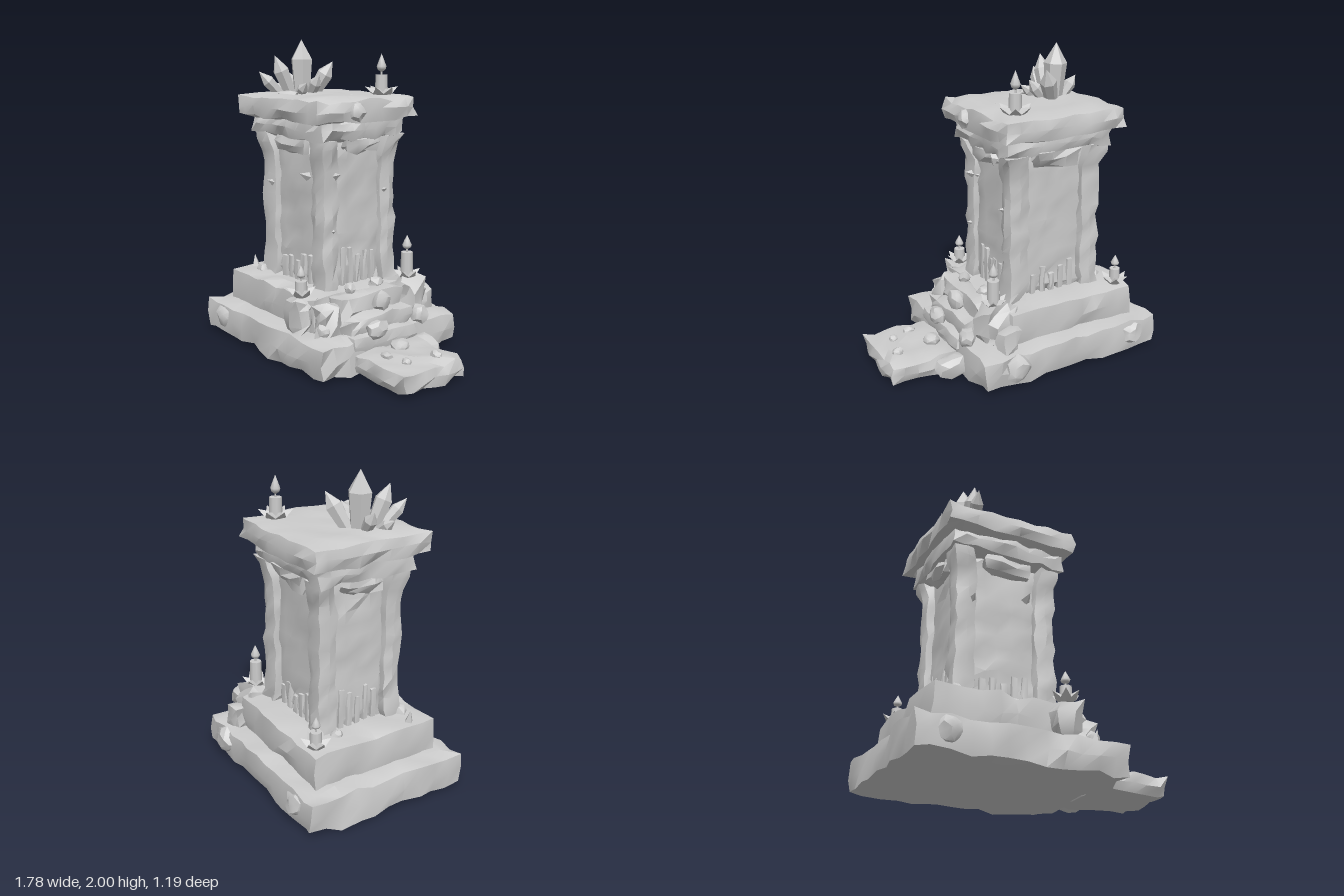
import * as THREE from 'three';
import { mergeVertices, toCreasedNormals } from 'three/addons/utils/BufferGeometryUtils.js';

export function createModel() {
  const root = new THREE.Group();
  const stone = new THREE.MeshStandardMaterial({ color: 0xcccccc });
  stone.name = 'pale stone';

  let seed = 7;
  const rand = () => {
    seed = (seed * 16807) % 2147483647;
    return seed / 2147483647;
  };
  const jitter = (a) => (rand() * 2 - 1) * a;

  function add(name, geometry, parent = root) {
    const mesh = new THREE.Mesh(geometry, stone);
    mesh.name = name;
    parent.add(mesh);
    return mesh;
  }

  // Rough hewn block between two corners: worn edges, dented faces, optional warp rule
  function block(name, [x0, x1], [y0, y1], [z0, z1], { amp = 0.012, wear = 0.025, cell = 0.09, warp } = {}) {
    const size = [x1 - x0, y1 - y0, z1 - z0];
    const mid = [(x0 + x1) / 2, (y0 + y1) / 2, (z0 + z1) / 2];
    const seg = size.map((s) => Math.max(2, Math.round(s / cell)));
    let g = new THREE.BoxGeometry(...size, ...seg);
    g.deleteAttribute('uv');
    g.deleteAttribute('normal');
    g = mergeVertices(g, 1e-4);
    const p = g.attributes.position;
    for (let i = 0; i < p.count; i++) {
      const v = [p.getX(i), p.getY(i), p.getZ(i)];
      const onFace = v.map((c, k) => Math.abs(Math.abs(c) - size[k] / 2) < 1e-4);
      const edge = onFace.filter(Boolean).length > 1;
      const chip = edge ? wear * (0.25 + rand() * 0.75) : 0;
      const q = v.map((c, k) => mid[k] + c + jitter(amp) - (onFace[k] ? Math.sign(c) * chip : 0));
      if (warp) warp(q);
      p.setXYZ(i, q[0], Math.max(q[1], 0.005), q[2]);
    }
    return add(name, toCreasedNormals(g, 0.6));
  }

  // Loose boulder or chip
  function boulder(name, x, y, z, sx, sy, sz) {
    let g = new THREE.IcosahedronGeometry(1, 1);
    g.deleteAttribute('uv');
    g.deleteAttribute('normal');
    g = mergeVertices(g, 1e-4);
    const p = g.attributes.position;
    for (let i = 0; i < p.count; i++) {
      const s = 1 + jitter(0.16);
      p.setXYZ(i, p.getX(i) * s * sx, p.getY(i) * s * sy, p.getZ(i) * s * sz);
    }
    const m = add(name, toCreasedNormals(g, 0.5));
    m.position.set(x, y, z);
    return m;
  }

  // Plinth tiers
  block('basePlinth', [-0.88, 0.44], [0.01, 0.235], [-0.56, 0.57], { amp: 0.014, cell: 0.11 });
  block('upperPlinth', [-0.75, 0.2], [0.2, 0.455], [-0.45, 0.45], { amp: 0.012, cell: 0.11 });

  // Steps on the side
  block('lowStep', [0.38, 0.89], [0.01, 0.155], [-0.19, 0.32], { amp: 0.012 });
  block('secondStep', [0.14, 0.45], [0.1, 0.25], [-0.2, 0.33]);
  block('thirdStep', [0.14, 0.4], [0.2, 0.345], [-0.2, 0.32]);
  block('topStep', [0.12, 0.31], [0.25, 0.455], [-0.2, 0.32]);

  // Broken masonry beside the steps and along the plinth
  block('candleBoulder', [0.1, 0.35], [0.2, 0.48], [-0.42, -0.18], { amp: 0.02, wear: 0.05 });
  block('backBoulder', [0.13, 0.29], [0.2, 0.38], [-0.51, -0.36], { amp: 0.015, wear: 0.04 });
  block('frontBoulder', [-0.02, 0.18], [0.2, 0.455], [0.36, 0.545], { amp: 0.015, wear: 0.04 });
  block('stepCheek', [0.14, 0.34], [0.2, 0.42], [0.28, 0.45], { amp: 0.018, wear: 0.05 });
  [
    [0.48, 0.08, -0.22, 0.12, 0.08, 0.08], [0.4, 0.27, -0.25, 0.06, 0.06, 0.06],
    [0.27, 0.27, 0.42, 0.05, 0.05, 0.04], [0.2, 0.14, -0.54, 0.09, 0.09, 0.06],
    [-0.68, 0.14, -0.53, 0.08, 0.08, 0.06], [-0.68, 0.14, 0.54, 0.08, 0.08, 0.055],
    [0.42, 0.26, 0.12, 0.05, 0.06, 0.08], [0.34, 0.4, 0.02, 0.05, 0.06, 0.07],
    [0.78, 0.165, -0.03, 0.035, 0.03, 0.03], [0.73, 0.155, 0.16, 0.03, 0.025, 0.03],
    [0.6, 0.16, 0.2, 0.04, 0.025, 0.03], [0.52, 0.16, 0.02, 0.05, 0.04, 0.06],
    [-0.55, 0.45, 0.31, 0.05, 0.05, 0.04], [0.2, 0.47, 0.16, 0.04, 0.04, 0.03],
    [0.18, 0.46, -0.08, 0.05, 0.04, 0.05], [-0.6, 0.45, -0.2, 0.04, 0.04, 0.04],
    [0.03, 1.655, 0.0, 0.025, 0.015, 0.025], [0.2, 1.57, 0.1, 0.05, 0.06, 0.06],
  ].forEach((b) => boulder('looseRock', ...b));

  // Shaft: recessed core and four corner piers that flare at foot and head
  const cx = -0.22;
  block('shaftCore', [cx - 0.295, cx + 0.295], [0.42, 1.42], [-0.25, 0.25], { amp: 0.013, cell: 0.08 });
  const flare = (q) => {
    const head = Math.max(0, (q[1] - 1.26) / 0.14) * 0.13;
    const foot = Math.max(0, (0.53 - q[1]) / 0.1) * 0.05;
    q[0] = cx + (q[0] - cx) * (1 + head + foot);
    q[2] *= 1 + head + foot;
  };
  for (const sx of [-1, 1]) {
    for (const sz of [-1, 1]) {
      const xs = [cx + sx * 0.19, cx + sx * 0.34].sort((a, b) => a - b);
      const zs = [sz * 0.165, sz * 0.3].sort((a, b) => a - b);
      block('cornerPier', xs, [0.43, 1.42], zs, { amp: 0.009, wear: 0.02, cell: 0.07, warp: flare });
    }
  }

  // Lintels and toothed bottom trim of the four recessed panels
  for (const s of [-1, 1]) {
    const z = [s * 0.2, s * 0.3].sort((a, b) => a - b);
    const x = [cx + s * 0.25, cx + s * 0.345].sort((a, b) => a - b);
    block('panelLintel', [cx - 0.15, cx + 0.15], [1.29, 1.42], z, { wear: 0.03, warp: flare });
    block('panelLintel', x, [1.3, 1.42], [-0.13, 0.13], { wear: 0.03, warp: flare });
    for (let i = 0; i < 5; i++) {
      const w = -0.14 + i * 0.07;
      const h = 0.56 + rand() * 0.09;
      const zt = [s * 0.23, s * 0.268].sort((a, b) => a - b);
      const xt = [cx + s * 0.27, cx + s * 0.313].sort((a, b) => a - b);
      const worn = { amp: 0.003, wear: 0.006 };
      block('panelTooth', [cx + w - 0.022, cx + w + 0.022], [0.44, h], zt, worn);
      block('panelTooth', xt, [0.44, h + 0.06], [w * 0.85 - 0.02, w * 0.85 + 0.02], worn);
    }
  }

  // Cornice and top slab
  block('cornice', [-0.615, 0.17], [1.39, 1.53], [-0.34, 0.355], { amp: 0.012, wear: 0.025 });
  block('topSlab', [-0.67, 0.215], [1.5, 1.66], [-0.41, 0.42], { amp: 0.01, wear: 0.03, cell: 0.1 });

  // Thorny chips on the shaft
  function spike(name, x, y, z, r, h, dir) {
    const m = add(name, toCreasedNormals(new THREE.ConeGeometry(r, h, 4), 0.3));
    m.position.set(x, y, z);
    m.quaternion.setFromUnitVectors(new THREE.Vector3(0, 1, 0), new THREE.Vector3(...dir).normalize());
  }
  spike('shaftChip', 0.12, 1.18, 0.2, 0.04, 0.09, [1, 0.3, 0]);
  spike('shaftChip', 0.11, 1.05, -0.2, 0.03, 0.07, [1, 0.3, 0]);
  spike('shaftChip', 0.11, 0.83, 0.22, 0.03, 0.06, [1, 0.2, 0]);
  spike('shaftChip', -0.08, 1.17, 0.3, 0.03, 0.07, [0, 0.4, 1]);
  spike('shaftChip', -0.45, 1.08, 0.3, 0.03, 0.07, [0, 0.4, 1]);
  spike('plinthShard', 0.15, 0.5, -0.1, 0.04, 0.12, [0.1, 1, 0]);
  spike('plinthShard', -0.69, 0.48, 0.28, 0.035, 0.1, [-0.2, 1, 0]);
  spike('plinthShard', 0.27, 0.27, 0.47, 0.03, 0.09, [0.1, 1, 0.2]);

  // Crystal cluster: six-sided prisms with pointed ends, given by root and tip
  function crystal(from, to, r) {
    const a = new THREE.Vector3(...from);
    const d = new THREE.Vector3(...to).sub(a);
    const h = d.length();
    const profile = [[0, 0], [r * 0.7, 0], [r, h * 0.66], [0, h]].map((q) => new THREE.Vector2(...q));
    const m = add('crystal', toCreasedNormals(new THREE.LatheGeometry(profile, 6), 0.3));
    m.position.copy(a);
    m.quaternion.setFromUnitVectors(new THREE.Vector3(0, 1, 0), d.normalize());
  }
  crystal([-0.42, 1.62, 0.06], [-0.43, 2.0, 0.055], 0.075);
  crystal([-0.42, 1.62, 0.14], [-0.44, 1.9, 0.26], 0.055);
  crystal([-0.42, 1.62, 0.2], [-0.46, 1.8, 0.37], 0.042);
  crystal([-0.38, 1.62, 0.02], [-0.27, 1.86, -0.08], 0.055);
  crystal([-0.36, 1.62, 0.05], [-0.23, 1.78, 0.06], 0.04);
  crystal([-0.46, 1.62, 0.06], [-0.58, 1.78, 0.05], 0.04);
  crystal([-0.46, 1.62, 0.14], [-0.6, 1.72, 0.18], 0.035);
  crystal([-0.38, 1.62, 0.14], [-0.23, 1.73, 0.16], 0.035);
  boulder('crystalBase', -0.34, 1.65, 0.24, 0.08, 0.03, 0.07);

  // Candles: jagged wax dish, body, wick and flame
  function candle(x, y, z, r, h, flameH, dishR) {
    const g = new THREE.Group();
    g.name = 'candle';
    g.position.set(x, y, z);
    root.add(g);
    const dish = new THREE.CylinderGeometry(dishR, dishR * 0.5, 0.04, 12);
    const p = dish.attributes.position;
    for (let i = 0; i < p.count; i++) {
      const a = Math.atan2(p.getZ(i), p.getX(i));
      const rim = p.getY(i) > 0 && Math.hypot(p.getX(i), p.getZ(i)) > 0.01;
      const k = rim ? 1 + 0.2 * Math.cos(a * 6) : 1;
      p.setXYZ(i, p.getX(i) * k, p.getY(i) + (rim ? 0.022 * Math.cos(a * 6) : 0) + 0.015, p.getZ(i) * k);
    }
    add('waxDish', toCreasedNormals(dish, 0.4), g);
    add('candleBody', new THREE.CylinderGeometry(r * 0.92, r, h, 10), g).position.y = h / 2;
    add('wick', new THREE.CylinderGeometry(0.006, 0.006, 0.03, 6), g).position.y = h + 0.01;
    const f = [[0, 0], [0.6, 0.15], [0.75, 0.32], [0.4, 0.65], [0, 1]]
      .map(([u, v]) => new THREE.Vector2(u * r, v * flameH));
    add('flame', new THREE.LatheGeometry(f, 8), g).position.y = h + 0.015;
  }
  candle(0.045, 1.65, -0.23, 0.042, 0.13, 0.12, 0.09);
  candle(0.235, 0.47, -0.295, 0.042, 0.17, 0.1, 0.075);
  candle(0.085, 0.455, 0.45, 0.04, 0.095, 0.085, 0.075);
  candle(-0.645, 0.455, -0.375, 0.038, 0.1, 0.08, 0.075);

  return root;
}
